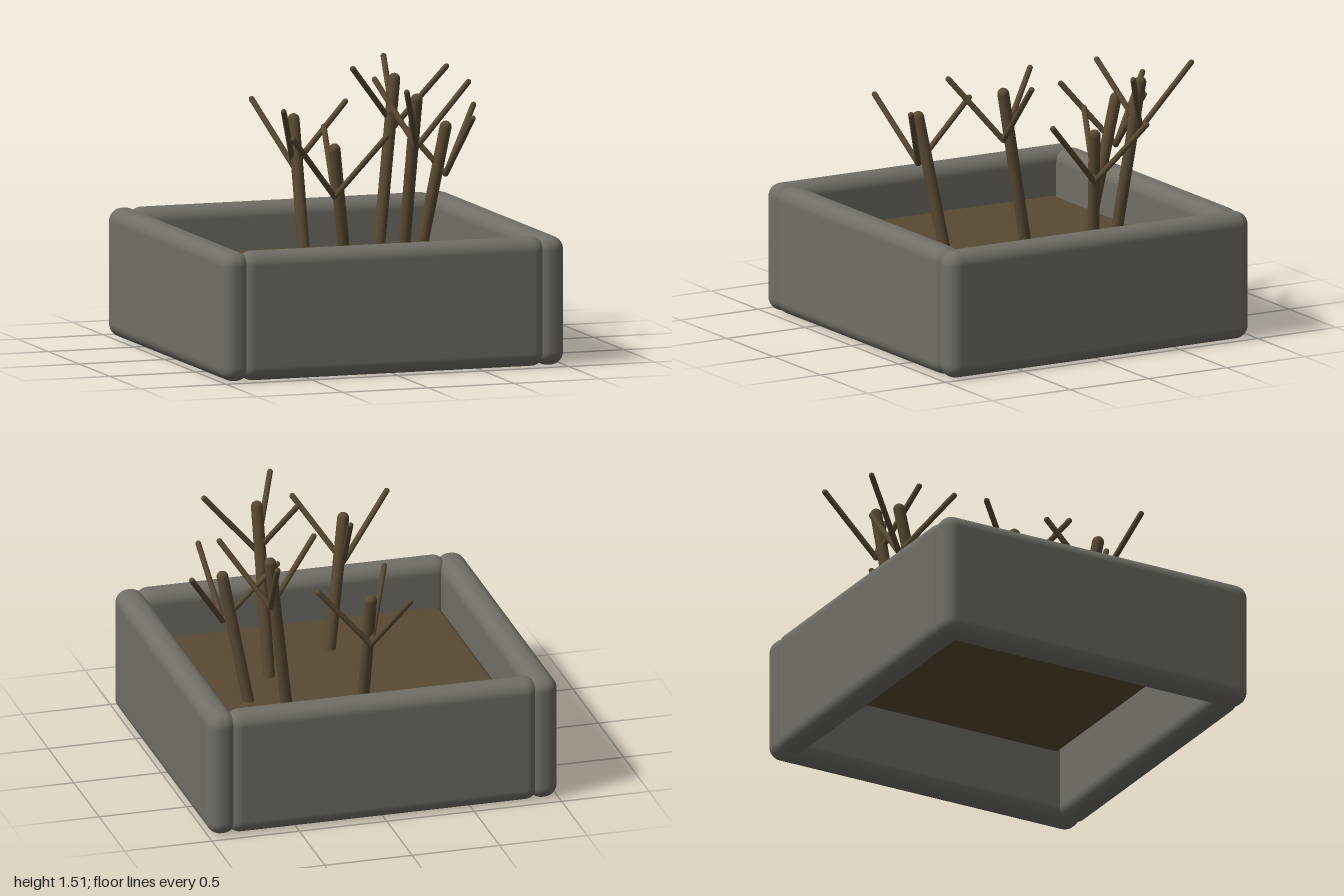
import * as THREE from 'three';
import { RoundedBoxGeometry } from 'three/addons/geometries/RoundedBoxGeometry.js';

const stone = new THREE.MeshStandardMaterial({ name: 'stone grey', color: 0x716e66 });
const earth = new THREE.MeshStandardMaterial({ name: 'earth brown', color: 0x5a4a33 });
const wood = new THREE.MeshStandardMaterial({ name: 'wood brown', color: 0x5a4a33 });

function block(name, size, pos, radius, material) {
  const mesh = new THREE.Mesh(new RoundedBoxGeometry(...size, 5, radius), material);
  mesh.name = name;
  mesh.position.set(...pos);
  return mesh;
}

// Round-ended rod between two points
function rod(name, from, to, radius) {
  const dir = to.clone().sub(from);
  const mesh = new THREE.Mesh(new THREE.CapsuleGeometry(radius, dir.length(), 6, 16), wood);
  mesh.name = name;
  mesh.position.copy(from).add(to).multiplyScalar(0.5);
  mesh.quaternion.setFromUnitVectors(new THREE.Vector3(0, 1, 0), dir.normalize());
  return mesh;
}

// Leaning trunk with three branches that meet straight below its tip
function shrub(base, top, angle) {
  const group = new THREE.Group();
  group.name = 'shrub';
  const tip = new THREE.Vector3(...top);
  group.add(rod('trunk', new THREE.Vector3(base[0], 0.46, base[1]), tip, 0.033));
  const joint = tip.clone().setY(tip.y - 0.262);
  for (let i = 0; i < 3; i++) {
    const a = THREE.MathUtils.degToRad(angle + i * 120);
    const end = joint.clone().add(new THREE.Vector3(0.302 * Math.cos(a), 0.346, 0.302 * Math.sin(a)));
    group.add(rod('branch', joint, end, 0.0158));
  }
  return group;
}

export function createModel() {
  const model = new THREE.Group();
  model.name = 'planter';

  // Four thick rounded walls
  const h = 0.716;
  for (const s of [-1, 1]) {
    model.add(block('sideWall', [0.165, h, 1.935], [s * 0.9175, h / 2, 0], 0.075, stone));
    model.add(block(s > 0 ? 'frontWall' : 'backWall', [1.775, h, 0.165], [0, h / 2, s * 0.8885], 0.075, stone));
  }

  // Thin soil slab set inside the walls, open underneath
  model.add(block('soil', [1.645, 0.082, 1.58], [0, 0.425, 0], 0.035, earth));

  // Bare shrubs: base [x, z], trunk tip [x, y, z], first branch angle
  const shrubs = [
    [[-0.07, 0.365], [-0.177, 1.19, 0.469], 38.5],
    [[0, -0.517], [0, 1.19, -0.69], 0],
    [[0.562, -0.208], [0.69, 1.19, -0.14], 80],
    [[0.356, 0.088], [0.378, 1.41, 0.257], 0],
    [[0.404, -0.436], [0.53, 1.41, -0.53], 38.5],
  ];
  for (const s of shrubs) model.add(shrub(...s));

  return model;
}
